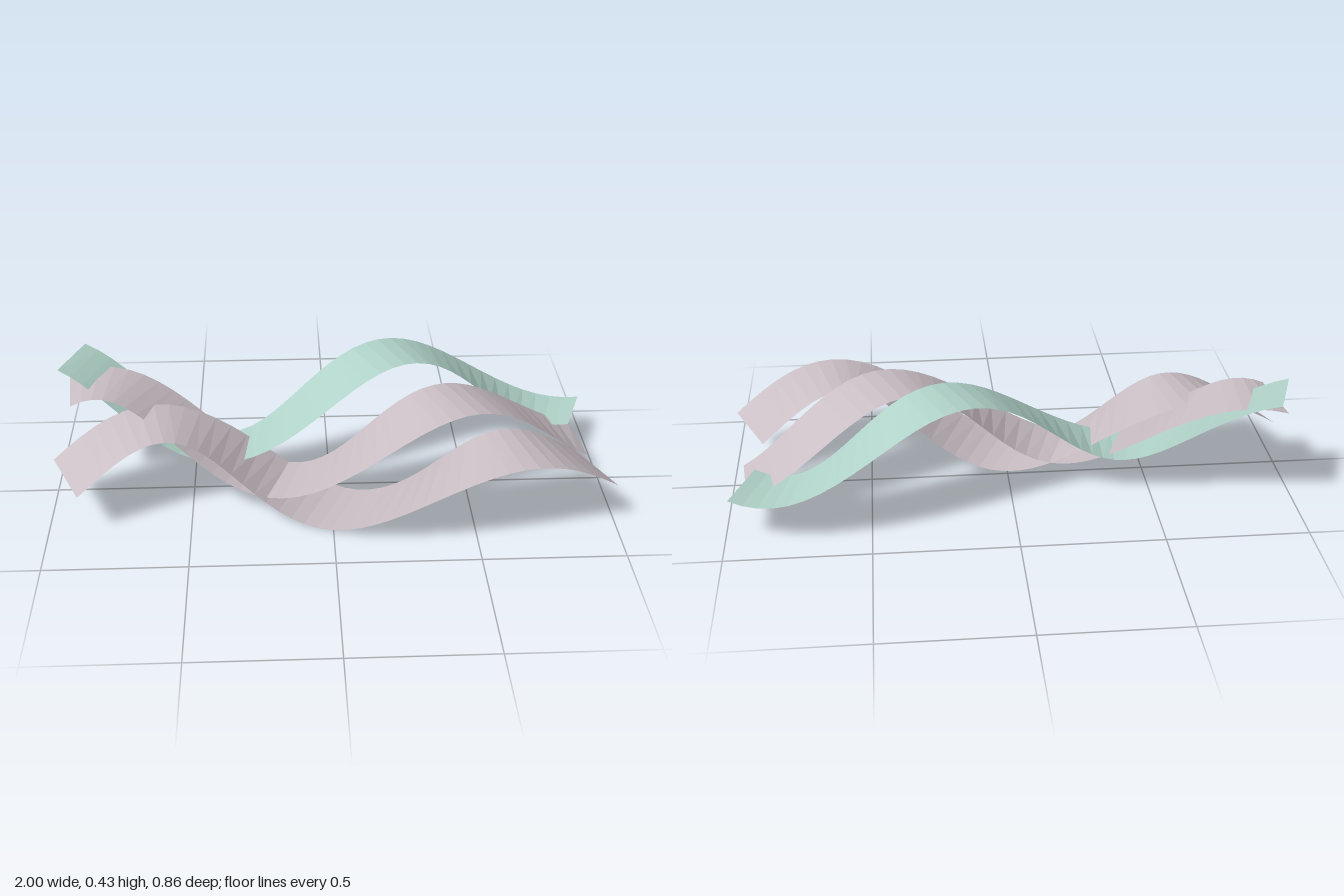
import * as THREE from 'three';

const HALF_LENGTH = 0.944;
const SEGMENTS = 40;

// Flat band swept along a wave: rises and falls in y, sways in z, always level across its width
function ribbonGeometry({ y, z, width, lift, sway }) {
  const positions = [];
  const index = [];
  for (let i = 0; i <= SEGMENTS; i++) {
    const u = i / SEGMENTS;
    const cx = (u * 2 - 1) * HALF_LENGTH;
    const cy = y + 0.15 * Math.sin(3 * Math.PI * u + lift);
    const cz = z - 0.131 * Math.sin(2 * Math.PI * u + sway);
    const slope = -0.131 * Math.PI / HALF_LENGTH * Math.cos(2 * Math.PI * u + sway);
    const half = width / 2 / Math.hypot(1, slope);
    // back edge, then front edge
    positions.push(cx + slope * half, cy, cz - half);
    positions.push(cx - slope * half, cy, cz + half);
    if (i < SEGMENTS) {
      const a = i * 2;
      index.push(a, a + 1, a + 2, a + 1, a + 3, a + 2);
    }
  }
  const geometry = new THREE.BufferGeometry();
  geometry.setAttribute('position', new THREE.Float32BufferAttribute(positions, 3));
  geometry.setIndex(index);
  const flat = geometry.toNonIndexed();
  flat.computeVertexNormals();
  return flat;
}

export function createModel() {
  const group = new THREE.Group();
  group.name = 'ribbons';

  const mauve = new THREE.MeshStandardMaterial({ color: 0xc9bec4, side: THREE.DoubleSide, flatShading: true });
  mauve.name = 'pale mauve';
  const mint = new THREE.MeshStandardMaterial({ color: 0xb0d2c8, side: THREE.DoubleSide, flatShading: true });
  mint.name = 'pale mint';

  // Each ribbon is further back, higher, narrower and later in phase
  const ribbons = [['frontRibbon', mauve], ['middleRibbon', mauve], ['backRibbon', mint]];
  ribbons.forEach(([name, material], i) => {
    const mesh = new THREE.Mesh(ribbonGeometry({
      y: 0.15 + 0.0667 * i,
      z: 0.158 - 0.172 * i,
      width: 0.28 - 0.028 * i,
      lift: i,
      sway: 1.3 * i,
    }), material);
    mesh.name = name;
    group.add(mesh);
  });
  return group;
}
